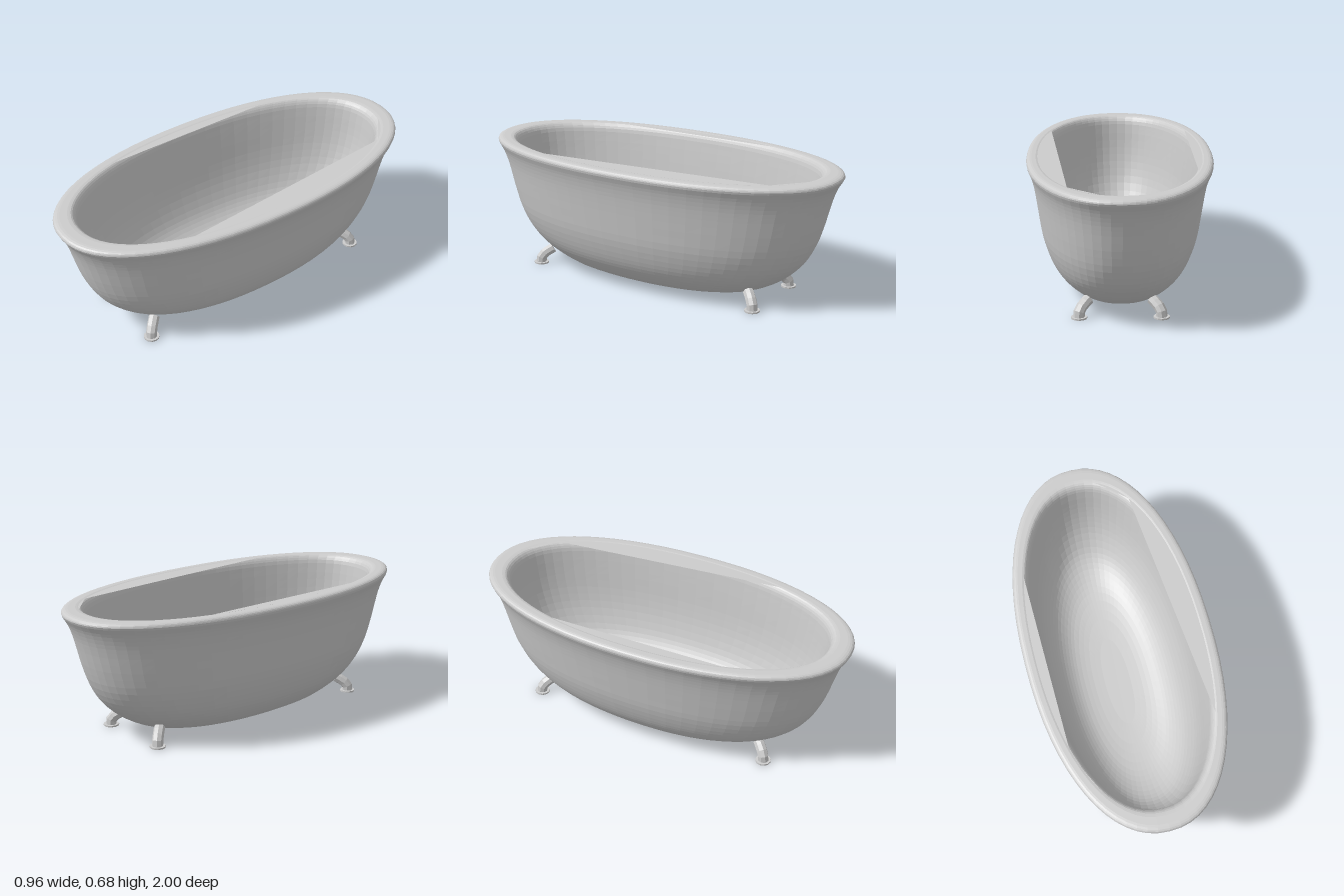
import * as THREE from 'three';

const RIM_Y = 0.682;
const FULLNESS = 2 / 2.18; // oval slightly fuller than an ellipse

const material = new THREE.MeshStandardMaterial({ color: 0xcccccc, flatShading: true });
const sheetMaterial = new THREE.MeshStandardMaterial({ color: 0xcccccc, side: THREE.DoubleSide });

function addMesh(parent, name, geometry, mat = material) {
  const mesh = new THREE.Mesh(geometry, mat);
  mesh.name = name;
  parent.add(mesh);
  return mesh;
}

// Point on the oval, with the angle measured from the front
function oval(halfWidth, halfLength, angle) {
  const power = v => Math.sign(v) * Math.abs(v) ** FULLNESS;
  return [halfWidth * power(Math.sin(angle)), halfLength * power(Math.cos(angle))];
}

// Smooth run of cross-sections, each [half-width, height, half-length]
function smooth(sections, count) {
  return new THREE.CatmullRomCurve3(sections.map(s => new THREE.Vector3(...s))).getPoints(count);
}

// Tub shell: oval rings up the outer wall, over the rolled rim and down the inside
function tubGeometry() {
  const outer = smooth([
    [0.18, 0.022, 0.42], [0.255, 0.044, 0.575], [0.316, 0.1, 0.697], [0.352, 0.15, 0.763],
    [0.379, 0.21, 0.819], [0.406, 0.3, 0.87], [0.422, 0.4, 0.905], [0.437, 0.5, 0.932],
    [0.448, 0.56, 0.95], [0.463, 0.615, 0.973], [0.478, 0.65, 0.995],
  ], 26);
  const rim = smooth([[0.48, 0.661, 1], [0.477, 0.671, 0.997], [0.468, 0.679, 0.985], [0.453, RIM_Y, 0.965]], 5);
  const inner = smooth([
    [0.432, RIM_Y, 0.925], [0.419, 0.677, 0.902], [0.405, 0.653, 0.883], [0.395, 0.6, 0.872],
    [0.38, 0.5, 0.857], [0.366, 0.4, 0.835], [0.345, 0.3, 0.8], [0.31, 0.2, 0.74],
    [0.28, 0.15, 0.685], [0.24, 0.11, 0.61], [0.2, 0.085, 0.53], [0.14, 0.068, 0.4], [0.07, 0.061, 0.25],
  ], 30);
  const rings = [
    new THREE.Vector3(0, 0.022, 0), ...outer, ...rim, ...inner, new THREE.Vector3(0, 0.06, 0),
  ];
  const sides = 64;
  const positions = [];
  const indices = [];
  rings.forEach((ring, r) => {
    for (let i = 0; i < sides; i++) {
      const [x, z] = oval(ring.x, ring.z, (i / sides) * Math.PI * 2);
      positions.push(x, ring.y, z);
      if (r === rings.length - 1) continue;
      const a = r * sides + i;
      const b = r * sides + (i + 1) % sides;
      indices.push(a, b, b + sides, a, b + sides, a + sides);
    }
  });
  const geometry = new THREE.BufferGeometry();
  geometry.setAttribute('position', new THREE.Float32BufferAttribute(positions, 3));
  geometry.setIndex(indices);
  geometry.computeVertexNormals();
  return geometry;
}

// Flat ledge between the inner rim edge and a straight chord across it
function ledgeGeometry(from, to) {
  const points = [];
  for (let i = 0; i <= 16; i++) {
    const [x, z] = oval(0.424, 0.908, from + (to - from) * i / 16);
    points.push(new THREE.Vector2(x, -z));
  }
  return new THREE.ShapeGeometry(new THREE.Shape(points))
    .rotateX(-Math.PI / 2).translate(0, RIM_Y - 0.002, 0);
}

// Bent leg on a round foot pad
function makeFoot(sx, sz) {
  const foot = new THREE.Group();
  const path = new THREE.CatmullRomCurve3([
    [0.2, 0.004, 0.655], [0.199, 0.03, 0.653], [0.185, 0.055, 0.638], [0.154, 0.08, 0.606],
  ].map(([x, y, z]) => new THREE.Vector3(sx * x, y, sz * z)));
  addMesh(foot, 'leg', new THREE.TubeGeometry(path, 4, 0.028, 8));
  const cap = addMesh(foot, 'legEnd', new THREE.CircleGeometry(0.028, 8));
  cap.position.copy(path.getPoint(1));
  cap.lookAt(path.getPoint(1).add(path.getTangent(1)));
  const pad = addMesh(foot, 'footPad', new THREE.CylinderGeometry(0.04, 0.04, 0.008, 12));
  pad.position.set(sx * 0.2, 0.004, sz * 0.654);
  foot.position.x = 0.006;
  return foot;
}

export function createModel() {
  const model = new THREE.Group();
  model.name = 'bathtub';
  addMesh(model, 'tub', tubGeometry());

  // Ledges: start and end angle around the rim, measured from the front
  const ledges = [[1.04, 2.53], [2.53, 2.92], [-2.06, -1.04], [-1.04, -0.87], [-0.87, -0.65]];
  for (const [from, to] of ledges) addMesh(model, 'rimLedge', ledgeGeometry(from, to), sheetMaterial);

  for (const sz of [1, -1]) {
    for (const sx of [1, -1]) {
      const foot = makeFoot(sx, sz);
      foot.name = (sz > 0 ? 'front' : 'back') + (sx > 0 ? 'Left' : 'Right') + 'Foot';
      model.add(foot);
    }
  }
  return model;
}
